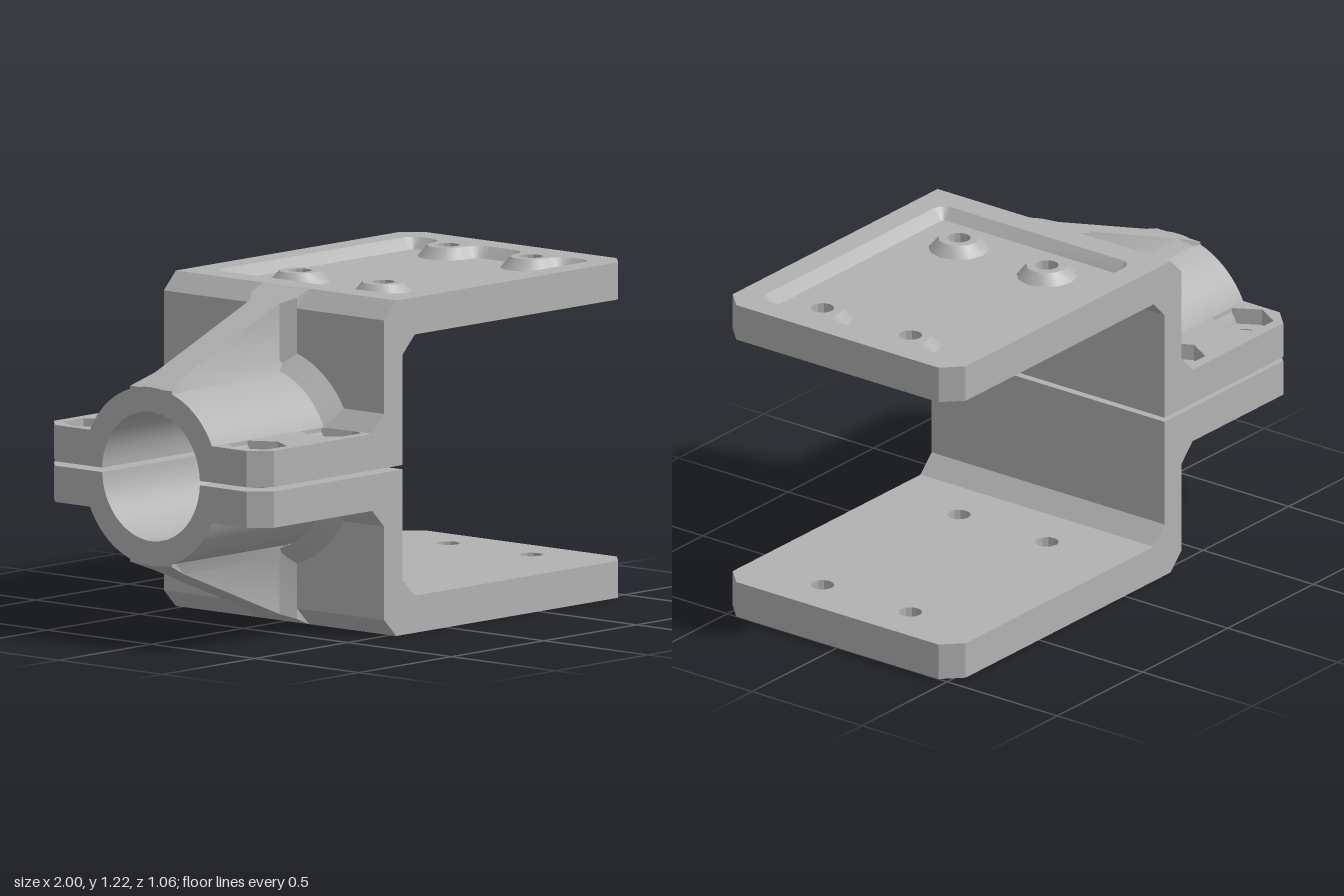
import * as THREE from 'three';
import { toCreasedNormals } from 'three/addons/utils/BufferGeometryUtils.js';

const GAP = 0.008, FLANGE_TOP = 0.14, PLATE_LOW = 0.475, FLOOR = 0.57, TOP = 0.61;
const HALF = 0.53, CUT = 0.07, WEB = -0.335;
const TUBE_R = 0.325, BORE_R = 0.235, HOLE_R = 0.043;
const PI = Math.PI;

const metal = new THREE.MeshStandardMaterial({ color: 0xb2b2b2 });

function add(group, name, geometry) {
  const mesh = new THREE.Mesh(toCreasedNormals(geometry, 0.45), metal);
  mesh.name = name;
  group.add(mesh);
  return mesh;
}

const poly = (pts) => new THREE.Shape(pts.map(([x, y]) => new THREE.Vector2(x, y)));

// Points of an arc or regular polygon
function arc(cx, cy, r, a0, a1, n) {
  return Array.from({ length: n + 1 }, (_, i) => {
    const a = a0 + (a1 - a0) * i / n;
    return [cx + r * Math.cos(a), cy + r * Math.sin(a)];
  });
}
const ngon = (cx, cy, r, n) => arc(cx, cy, r, 0, 2 * PI, n).slice(0, n);

// Flat slab in plan, between two heights
function slab(outline, holes, y0, y1) {
  const shape = poly(outline);
  shape.holes = holes.map(poly);
  return new THREE.ExtrudeGeometry(shape, { depth: y1 - y0, bevelEnabled: false })
    .rotateX(-PI / 2).translate(0, y0, 0);
}

// Side profile swept across z
function sideProfile(pts, z0, z1) {
  return new THREE.ExtrudeGeometry(poly(pts), { depth: z1 - z0, bevelEnabled: false }).translate(0, 0, z0);
}

// Skin over a row of closed rings, with optional start cap
function loft(rings, cap = false) {
  const n = rings[0].length, index = [];
  for (let r = 0; r < rings.length - 1; r++) {
    for (let i = 0; i < n; i++) {
      const j = (i + 1) % n, a = r * n, b = a + n;
      index.push(a + i, a + j, b + j, a + i, b + j, b + i);
    }
  }
  if (cap) for (let i = 1; i < n - 1; i++) index.push(0, i + 1, i);
  const g = new THREE.BufferGeometry();
  g.setAttribute('position', new THREE.Float32BufferAttribute(rings.flat(2), 3));
  g.setIndex(index);
  return g;
}

// Pocket outline in plan, offset inward by o, wrapping around the two edge bosses
function pocket(o) {
  const x0 = -0.17, x1 = 0.9, z = 0.435, c = 0.05, cr = c - o;
  const f = 0.07 - o, b = 0.075 + o, bx = 0.83;
  const pts = [
    ...arc(x0 + c, z - c, cr, PI / 2, PI, 5),
    ...arc(x0 + c, -z + c, cr, PI, 1.5 * PI, 5),
    ...arc(x1 - c, -z + c, cr, -PI / 2, 0, 5),
  ];
  for (const bz of [-0.2, 0.2]) {
    pts.push(...arc(bx, bz - 0.145, f, 0, PI / 2, 5));
    pts.push(...arc(bx, bz, b, 1.5 * PI, PI / 2, 10));
    pts.push(...arc(bx, bz + 0.145, f, -PI / 2, 0, 5));
  }
  return [...pts, ...arc(x1 - c, z - c, cr, 0, PI / 2, 5)];
}

function mountingPlate(g) {
  const outline = [[-0.27, -HALF], [1 - CUT, -HALF], [1, -HALF + CUT], [1, HALF - CUT], [1 - CUT, HALF], [-0.27, HALF]];
  const bores = (x) => [-0.2, 0.2].map((z) => ngon(x, z, HOLE_R, 12));
  add(g, 'plateBase', slab(outline, [...bores(0.03), ...bores(0.83)], PLATE_LOW, FLOOR));
  add(g, 'plateRim', slab(outline, [pocket(0), ...bores(0.83)], FLOOR, TOP));
  const ring = (o, y) => pocket(o).map(([x, z]) => [x, y, -z]);
  add(g, 'pocketWall', loft([ring(0, TOP), ring(0.035, FLOOR)]));
  // Raised collars around the inner screw holes
  for (const z of [-0.2, 0.2]) {
    const profile = [[0.11, FLOOR], [0.075, TOP], [HOLE_R, TOP], [HOLE_R, FLOOR]];
    add(g, 'screwBoss', new THREE.LatheGeometry(profile.map(([x, y]) => new THREE.Vector2(x, y)), 12))
      .position.set(0.03, 0, z);
  }
}

function clampFlange(g, s) {
  const inner = 0.27;
  const outline = [[-1, inner], [WEB, inner], [WEB, HALF], [-1 + CUT, HALF], [-1, HALF - CUT]].map(([x, z]) => [x, z * s]);
  const holes = (r, n) => [-0.87, -0.47].map((x) => ngon(x, 0.395 * s, r, n));
  add(g, 'flangeBase', slab(outline, holes(0.052, 16), GAP, 0.08));
  add(g, 'flangeNutSeats', slab(outline, holes(0.11, 6), 0.08, FLANGE_TOP));
  // Chamfer where the flange meets the upright wall
  add(g, 'flangeChamfer', sideProfile([[-0.4, FLANGE_TOP], [WEB, FLANGE_TOP], [WEB, FLANGE_TOP + 0.065]],
    s > 0 ? inner : -HALF, s > 0 ? HALF : -inner));
}

function clampTube(g) {
  const a = Math.asin(GAP / TUBE_R), b = Math.asin(GAP / BORE_R);
  const section = poly([...arc(0, 0, TUBE_R, a, PI - a, 32), ...arc(0, 0, BORE_R, PI - b, b, 32)]);
  add(g, 'clampTube', new THREE.ExtrudeGeometry(section, { depth: WEB + 1, bevelEnabled: false })
    .rotateY(PI / 2).translate(-1, 0, 0));
  add(g, 'tubeChamfer', new THREE.CylinderGeometry(TUBE_R, TUBE_R + 0.065, 0.065, 32, 1, true, 0, PI)
    .rotateZ(PI / 2).translate(-0.3675, GAP, 0));
}

// Sloping rib on the tube, flared at its foot and at the wall
function gusset(g) {
  const sections = [ // x, half width, shoulder height, top height
    [-1, 0.1, 0.32, 0.32], [-0.9, 0.07, 0.36, 0.36], [-0.385, 0.07, 0.36, 0.564],
    [WEB, 0.11, 0.36, 0.584], [-0.27, 0.11, 0.36, TOP],
  ];
  const rings = sections.map(([x, w, ys, yt]) => {
    const f = Math.max(w, 0.1);
    return [[x, 0.29, -f], [x, ys, -w], [x, yt, -w], [x, yt, w], [x, ys, w], [x, 0.29, f]];
  });
  add(g, 'gussetRib', loft(rings, true));
}

function bracketHalf(name) {
  const g = new THREE.Group();
  g.name = name;
  // Upright wall with an outer and an inner chamfer
  add(g, 'uprightWall', sideProfile([[WEB, GAP], [-0.235, GAP], [-0.235, 0.41], [-0.17, PLATE_LOW],
    [-0.27, PLATE_LOW], [-0.27, TOP], [WEB, TOP - 0.065]], -HALF, HALF));
  mountingPlate(g);
  for (const s of [-1, 1]) clampFlange(g, s);
  clampTube(g);
  gusset(g);
  g.position.y = TOP;
  return g;
}

export function createModel() {
  const model = new THREE.Group();
  model.name = 'tubeClampBracket';
  const lower = bracketHalf('lowerHalf');
  lower.rotation.x = PI;
  model.add(bracketHalf('upperHalf'), lower);
  return model;
}
